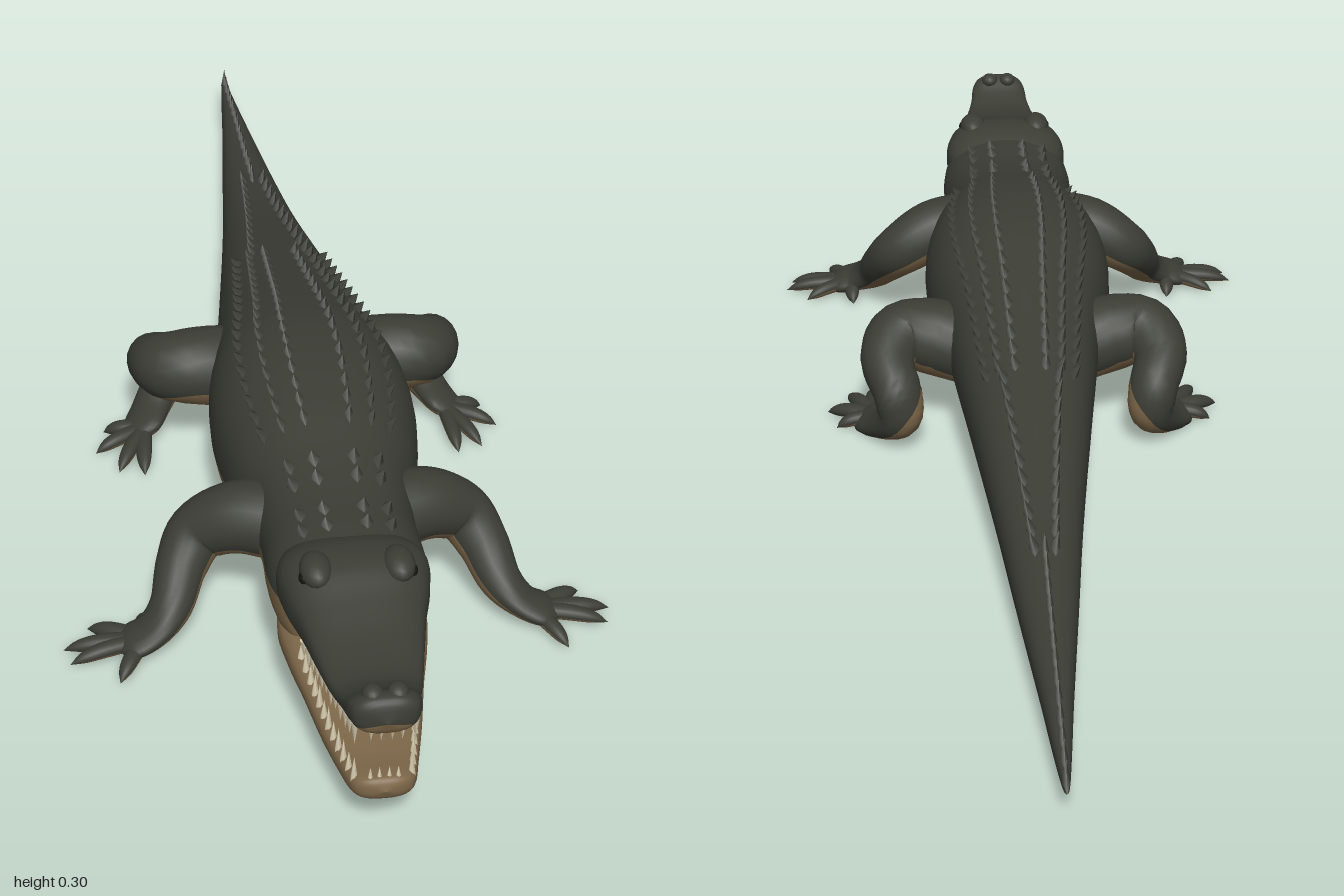
import * as THREE from 'three';
import { mergeGeometries } from 'three/addons/utils/BufferGeometryUtils.js';

const V = (x, y, z) => new THREE.Vector3(x, y, z);
const paint = (name, color) => {
  const m = new THREE.MeshStandardMaterial({ color });
  m.name = name;
  return m;
};

// Skin over closed rings: the first `nu` segments use material 0, the rest material 1
function skin(rings, nu, nl) {
  const n = nu + nl, pos = [], index = [];
  rings.forEach(r => r.forEach(p => pos.push(p.x, p.y, p.z)));
  const strip = (from, to) => {
    for (let i = 0; i < rings.length - 1; i++) {
      for (let j = from; j < to; j++) {
        const a = i * n + j, b = i * n + (j + 1) % n;
        index.push(a, b, b + n, a, b + n, a + n);
      }
    }
  };
  const g = new THREE.BufferGeometry();
  strip(0, nu);
  const half = index.length;
  strip(nu, n);
  g.setIndex(index);
  g.setAttribute('position', new THREE.Float32BufferAttribute(pos, 3));
  g.addGroup(0, half, 0);
  g.addGroup(half, index.length - half, 1);
  g.computeVertexNormals();
  return g;
}

const spow = (v, e) => Math.sign(v) * Math.abs(v) ** e;

// Loft along z through stations [z, half width, bottom, top, colour border height]
function loftZ(st, e, steps) {
  const A = new THREE.CatmullRomCurve3(st.map(s => V(s[0], s[1], s[4])), false, 'catmullrom');
  const B = new THREE.CatmullRomCurve3(st.map(s => V(s[0], s[2], s[3])), false, 'catmullrom');
  const nu = 24, nl = 20, rings = [];
  for (let i = 0; i <= steps; i++) {
    const a = A.getPoint(i / steps), b = B.getPoint(i / steps);
    const cy = (b.y + b.z) / 2, h = Math.max((b.z - b.y) / 2, 0), w = Math.max(a.y, 0);
    const q = THREE.MathUtils.clamp((a.z - cy) / (h + 1e-5), -0.95, 0.95);
    const a0 = Math.asin(spow(q, 1 / e));
    const ring = [];
    for (let j = 0; j < nu + nl; j++) {
      const t = j < nu ? a0 + (Math.PI - 2 * a0) * j / nu
        : Math.PI - a0 + (Math.PI + 2 * a0) * (j - nu) / nl;
      ring.push(V(w * spow(Math.cos(t), e), cy + h * spow(Math.sin(t), e), a.x));
    }
    rings.push(ring);
  }
  return skin(rings, nu, nl);
}

// Limb along points [x, y, z, side radius, vertical radius]; s mirrors it
function limb(pts, s, steps) {
  const P = new THREE.CatmullRomCurve3(pts.map(p => V(p[0] * s, p[1], p[2])), false, 'catmullrom');
  const R = new THREE.CatmullRomCurve3(pts.map(p => V(p[3], p[4], 0)), false, 'catmullrom');
  const nu = 12, nl = 8, lo = -0.35, rings = [];
  for (let i = 0; i <= steps; i++) {
    const c = P.getPoint(i / steps), r = R.getPoint(i / steps), t = P.getTangent(i / steps);
    const side = V(0.5 * s, 0.86, 0).cross(t).normalize();
    const up = t.clone().cross(side);
    const ring = [];
    for (let j = 0; j < nu + nl; j++) {
      const a = j < nu ? lo + (Math.PI - 2 * lo) * j / nu
        : Math.PI - lo + (Math.PI + 2 * lo) * (j - nu) / nl;
      const p = c.clone().addScaledVector(side, Math.max(r.x, 0) * Math.cos(a))
        .addScaledVector(up, Math.max(r.y, 0) * Math.sin(a));
      p.y = Math.max(p.y, 0.002);
      ring.push(p);
    }
    rings.push(ring);
  }
  return skin(rings, nu, nl);
}

const BODY = [
  [-1, 0, 0.04, 0.04, 0.04], [-0.98, 0.005, 0.03, 0.046, 0.036], [-0.9, 0.013, 0.022, 0.056, 0.034],
  [-0.8, 0.022, 0.019, 0.07, 0.038], [-0.6, 0.042, 0.018, 0.094, 0.048], [-0.4, 0.062, 0.018, 0.13, 0.058],
  [-0.2, 0.086, 0.02, 0.182, 0.07], [-0.05, 0.105, 0.022, 0.222, 0.085], [0.1, 0.125, 0.022, 0.264, 0.1],
  [0.2, 0.144, 0.018, 0.285, 0.12], [0.3, 0.148, 0.016, 0.288, 0.128], [0.4, 0.135, 0.02, 0.275, 0.13],
  [0.48, 0.115, 0.035, 0.256, 0.135], [0.56, 0.108, 0.056, 0.243, 0.15], [0.64, 0.109, 0.072, 0.24, 0.165],
  [0.7, 0.1, 0.08, 0.235, 0.175], [0.73, 0.075, 0.1, 0.21, 0.175], [0.74, 0, 0.15, 0.15, 0.15],
];
const UPPER = [
  [0.62, 0.085, 0.14, 0.22, 0.17], [0.68, 0.102, 0.138, 0.248, 0.178], [0.73, 0.097, 0.137, 0.25, 0.176],
  [0.78, 0.084, 0.147, 0.232, 0.172], [0.84, 0.072, 0.158, 0.214, 0.174], [0.9, 0.06, 0.167, 0.206, 0.178],
  [0.94, 0.051, 0.174, 0.218, 0.184], [0.97, 0.047, 0.18, 0.236, 0.19], [0.99, 0.036, 0.185, 0.234, 0.196],
  [1, 0, 0.207, 0.207, 0.207],
];
const LOWER = [
  [0.6, 0.085, 0.085, 0.15, 0.14], [0.68, 0.101, 0.075, 0.148, 0.14], [0.74, 0.094, 0.068, 0.138, 0.13],
  [0.8, 0.08, 0.063, 0.12, 0.113], [0.87, 0.066, 0.058, 0.107, 0.1], [0.93, 0.052, 0.058, 0.102, 0.095],
  [0.97, 0.042, 0.064, 0.104, 0.096], [0.985, 0.028, 0.072, 0.102, 0.095], [0.992, 0, 0.088, 0.088, 0.088],
];
const FORELEG = [
  [0.06, 0.15, 0.5, 0.058, 0.058], [0.13, 0.15, 0.48, 0.052, 0.052], [0.185, 0.122, 0.47, 0.044, 0.044],
  [0.213, 0.088, 0.498, 0.037, 0.037], [0.232, 0.052, 0.54, 0.032, 0.03], [0.26, 0.03, 0.565, 0.036, 0.02],
  [0.295, 0.018, 0.575, 0.036, 0.014], [0.315, 0.014, 0.578, 0, 0],
];
const HINDLEG = [
  [0.06, 0.125, 0.07, 0.06, 0.06], [0.135, 0.142, 0.088, 0.062, 0.06], [0.19, 0.146, 0.088, 0.054, 0.052],
  [0.212, 0.125, 0.04, 0.042, 0.044], [0.198, 0.092, -0.005, 0.037, 0.04], [0.196, 0.055, -0.012, 0.032, 0.034],
  [0.218, 0.03, 0.025, 0.034, 0.024], [0.24, 0.018, 0.07, 0.035, 0.015], [0.25, 0.014, 0.095, 0, 0],
];
const FORETOES = [[0.27, 0.503], [0.35, 0.522], [0.386, 0.565], [0.378, 0.597], [0.312, 0.645]];
const HINDTOES = [[0.295, 0.05], [0.31, 0.105], [0.278, 0.158], [0.24, 0.17]];

// Linear lookup in a station table
function at(st, z) {
  let i = 0;
  while (i < st.length - 2 && st[i + 1][0] < z) i++;
  const k = (z - st[i][0]) / (st[i + 1][0] - st[i][0]);
  return st[i].map((v, j) => v + (st[i + 1][j] - v) * k);
}

// Keeled scale standing on the back at fraction f of the half width
function scute(z, f, wide, tall, long) {
  const [, w, b, t] = at(BODY, z);
  const a = Math.acos(f), h = (t - b) / 2;
  const g = new THREE.ConeGeometry(1, 1, 4);
  g.translate(0, 0.3, -0.35);
  g.scale(wide, tall, long);
  g.rotateZ(-Math.asin(f) * 0.9);
  g.translate(w * spow(Math.cos(a), 0.88), (t + b) / 2 + h * Math.sin(a) ** 0.88, z);
  return g;
}

export function createModel() {
  const model = new THREE.Group();
  const hide = paint('dark hide', 0x3b3d35), belly = paint('tan belly', 0x7d6749);
  const ivory = paint('ivory teeth', 0xd8cdb0), mouth = paint('mouth lining', 0x5e4433);
  const black = paint('eye black', 0x15140f);
  const add = (name, geo, mat, parent = model) => {
    const m = new THREE.Mesh(geo, mat);
    m.name = name;
    parent.add(m);
    return m;
  };

  // Trunk and jaws
  add('bodyAndTail', loftZ(BODY, 0.88, 110), [hide, belly]);
  add('upperJaw', loftZ(UPPER, 0.75, 48), [hide, belly]);
  add('lowerJaw', loftZ(LOWER, 0.75, 48), belly);
  const throat = add('throat', new THREE.SphereGeometry(1, 20, 12), mouth);
  throat.scale.set(0.07, 0.022, 0.05);
  throat.position.set(0, 0.142, 0.735);
  const tongue = add('tongue', new THREE.SphereGeometry(1, 20, 12), mouth);
  tongue.scale.set(0.042, 0.009, 0.1);
  tongue.position.set(0, 0.113, 0.81);
  tongue.rotation.x = 0.17;

  // Back scutes in rows, merging into the tail crest
  const scales = [];
  for (let z = -0.12; z < 0.45; z += 0.034) {
    for (const f of [0.2, 0.44, 0.66]) {
      for (const s of [-1, 1]) scales.push(scute(z, f * s, 0.009, 0.02, 0.02));
    }
  }
  for (const z of [0.5, 0.535, 0.6, 0.635]) {
    for (const f of [-0.5, -0.2, 0.2, 0.5]) scales.push(scute(z, f, 0.012, 0.018, 0.018));
  }
  for (let z = -0.14; z > -0.5; z -= 0.036) {
    const f = 0.25 + (z + 0.5) * 0.4;
    for (const s of [-1, 1]) scales.push(scute(z, f * s, 0.008, 0.026, 0.024));
  }
  for (let z = -0.51; z > -0.97; z -= 0.038) scales.push(scute(z, 0, 0.006, 0.034, 0.028));
  add('backScutes', mergeGeometries(scales), hide);

  // Teeth along both jaws
  const teeth = [];
  const tooth = (x, y, z, len, dir) => {
    const g = new THREE.ConeGeometry(0.0055, len, 6);
    if (dir < 0) g.rotateX(Math.PI);
    g.translate(x, y + dir * len * 0.35, z);
    teeth.push(g);
  };
  for (let i = 0; i < 12; i++) {
    const z = 0.765 + i * 0.019, u = at(UPPER, z), l = at(LOWER, z - 0.008);
    const len = 0.026 + 0.013 * Math.abs(Math.sin(i * 1.3));
    for (const s of [-1, 1]) {
      tooth(s * u[1] * 0.86, u[2] + 0.008, z, len, -1);
      tooth(s * l[1] * 0.86, l[3] - 0.008, z - 0.008, len, 1);
    }
  }
  for (const x of [-0.02, -0.007, 0.007, 0.02]) {
    tooth(x, 0.196, 0.987, 0.03, -1);
    tooth(x * 0.9, 0.095, 0.978, 0.028, 1);
  }
  add('teeth', mergeGeometries(teeth), ivory);

  for (const s of [-1, 1]) {
    const side = s > 0 ? 'left' : 'right';
    // Brow, eye and nostril
    const ball = (name, mat, x, y, z, a, b, c) => {
      const m = add(side + name, new THREE.SphereGeometry(1, 16, 12), mat);
      m.position.set(s * x, y, z);
      m.scale.set(a, b, c);
    };
    ball('Brow', hide, 0.055, 0.24, 0.725, 0.022, 0.02, 0.034);
    ball('Eye', black, 0.07, 0.236, 0.735, 0.009, 0.009, 0.011);
    ball('Nostril', hide, 0.016, 0.232, 0.968, 0.014, 0.012, 0.016);

    // Legs with clawed toes
    const leg = (name, path, toes, x, z) => {
      const g = new THREE.Group();
      g.name = side + name;
      model.add(g);
      add('limb', limb(path, s, 40), [hide, belly], g);
      toes.forEach(([tx, tz]) => add('toe', limb([
        [x, 0.018, z, 0.014, 0.011], [x + (tx - x) * 0.5, 0.017, z + (tz - z) * 0.5, 0.013, 0.011],
        [x + (tx - x) * 0.8, 0.012, z + (tz - z) * 0.8, 0.009, 0.008], [tx, 0.005, tz, 0, 0],
      ], s, 12), [hide, belly], g));
    };
    leg('FrontLeg', FORELEG, FORETOES, 0.275, 0.57);
    leg('HindLeg', HINDLEG, HINDTOES, 0.235, 0.065);
  }
  return model;
}
